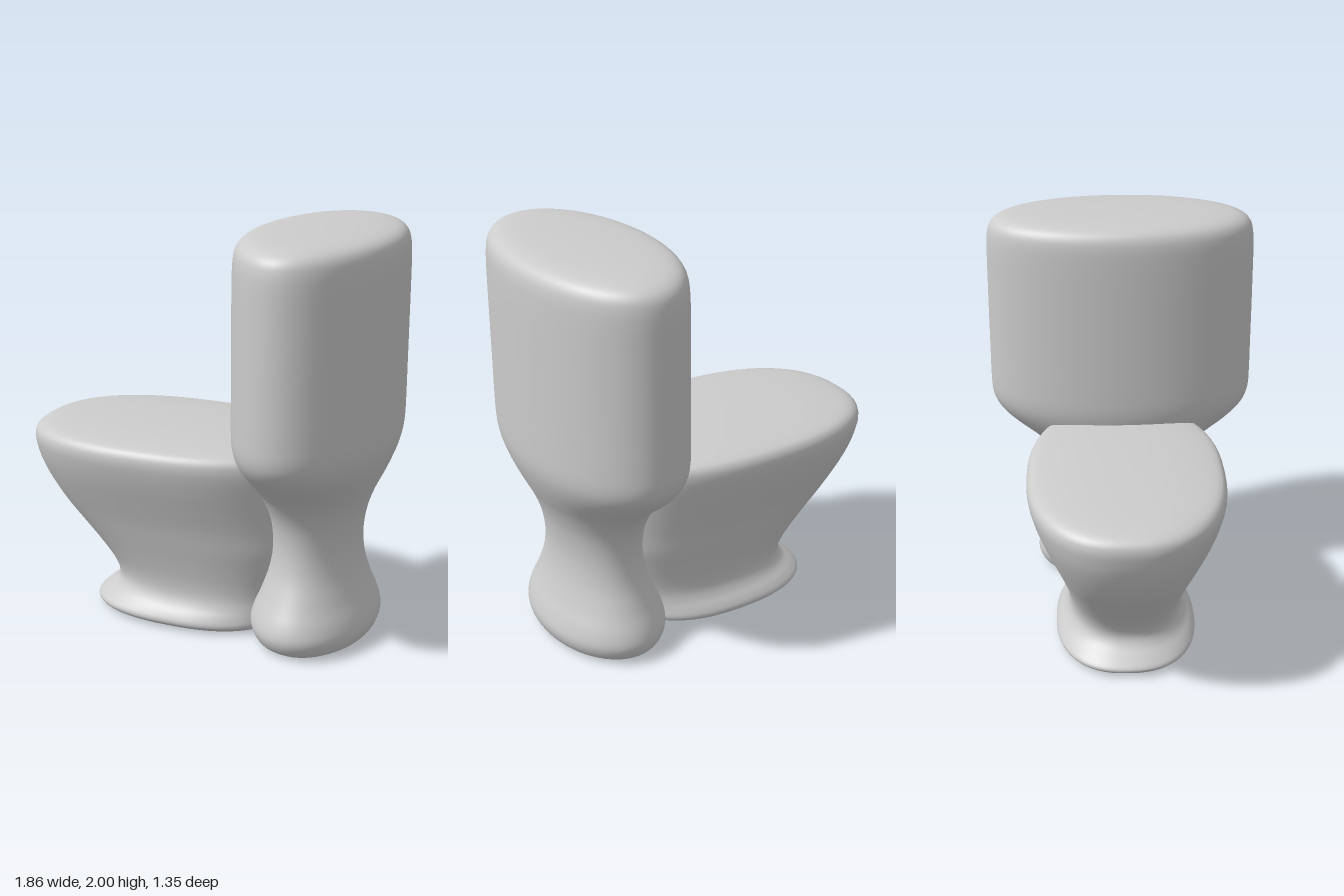
import * as THREE from 'three';

const SIDES = 64, STEPS = 4;

// Smooth closed body through rings [y, minX, maxX, halfZ]; n is the superellipse power
function loft(rings, n) {
  const spread = new THREE.CatmullRomCurve3(
    rings.map(([y, a, b]) => new THREE.Vector3((a + b) / 2, y, (b - a) / 2)), false, 'catmullrom');
  const depth = new THREE.CatmullRomCurve3(
    rings.map(r => new THREE.Vector3(r[3], 0, 0)), false, 'catmullrom');
  const rows = (rings.length - 1) * STEPS;
  const pos = [], idx = [];
  const power = v => Math.sign(v) * Math.pow(Math.abs(v), 2 / n);
  for (let i = 0; i <= rows; i++) {
    const p = spread.getPoint(i / rows), hz = depth.getPoint(i / rows).x;
    for (let j = 0; j < SIDES; j++) {
      const a = (j / SIDES) * Math.PI * 2;
      pos.push(p.x + p.z * power(Math.cos(a)), p.y, hz * power(Math.sin(a)));
    }
  }
  for (let i = 0; i < rows; i++) {
    for (let j = 0; j < SIDES; j++) {
      const k = (j + 1) % SIDES, a = i * SIDES, b = a + SIDES;
      idx.push(a + j, b + j, a + k, b + j, b + k, a + k);
    }
  }
  // Flat sole with its own vertices, so its edge stays crisp
  const base = pos.length / 3;
  for (let j = 0; j < SIDES; j++) pos.push(pos[j * 3], pos[j * 3 + 1], pos[j * 3 + 2]);
  pos.push((rings[0][1] + rings[0][2]) / 2, rings[0][0], 0);
  for (let j = 0; j < SIDES; j++) idx.push(base + SIDES, base + j, base + (j + 1) % SIDES);

  const geo = new THREE.BufferGeometry();
  geo.setAttribute('position', new THREE.Float32BufferAttribute(pos, 3));
  geo.setIndex(idx);
  geo.computeVertexNormals();
  return geo;
}

export function createModel() {
  const group = new THREE.Group();
  const material = new THREE.MeshStandardMaterial({ color: 0xcccccc });
  const add = (name, geo) => {
    const mesh = new THREE.Mesh(geo, material);
    mesh.name = name;
    group.add(mesh);
  };

  // Cistern on its waisted pedestal: [y, halfX, halfZ] around x = 0.56
  const tank = [
    [0, 0.24, 0.38], [0.03, 0.28, 0.425], [0.09, 0.3, 0.45], [0.16, 0.285, 0.432],
    [0.25, 0.25, 0.385], [0.37, 0.217, 0.333], [0.5, 0.207, 0.315], [0.63, 0.225, 0.335],
    [0.74, 0.262, 0.395], [0.82, 0.3, 0.475], [0.9, 0.333, 0.575], [0.97, 0.354, 0.64],
    [1.04, 0.364, 0.668], [1.14, 0.366, 0.673], [1.3, 0.366, 0.673], [1.5, 0.366, 0.673],
    [1.7, 0.366, 0.672], [1.82, 0.365, 0.671], [1.89, 0.362, 0.665], [1.935, 0.352, 0.65],
    [1.965, 0.33, 0.615], [1.983, 0.29, 0.55], [1.993, 0.22, 0.42], [1.998, 0.11, 0.21], [2, 0, 0],
  ];
  add('tank', loft(tank.map(([y, hx, hz]) => [y, 0.56 - hx, 0.56 + hx, hz]), 2));

  // Bowl with flared foot, closed by a softly domed lid: [y, minX, maxX, halfZ]
  const bowl = [
    [0, -0.55, 0.34, 0.3], [0.02, -0.59, 0.38, 0.34], [0.045, -0.603, 0.39, 0.352],
    [0.08, -0.565, 0.39, 0.335], [0.12, -0.515, 0.4, 0.305], [0.17, -0.493, 0.41, 0.287],
    [0.24, -0.52, 0.43, 0.29], [0.33, -0.59, 0.46, 0.31], [0.43, -0.68, 0.49, 0.338],
    [0.54, -0.78, 0.5, 0.37], [0.65, -0.855, 0.51, 0.41], [0.75, -0.903, 0.52, 0.447],
    [0.83, -0.925, 0.53, 0.471], [0.885, -0.93, 0.53, 0.48], [0.925, -0.912, 0.52, 0.471],
    [0.95, -0.855, 0.47, 0.44], [0.965, -0.73, 0.35, 0.355], [0.975, -0.55, 0.17, 0.24],
    [0.98, -0.37, -0.01, 0.12], [0.982, -0.19, -0.19, 0],
  ];
  add('bowl', loft(bowl, 2.4));
  return group;
}
